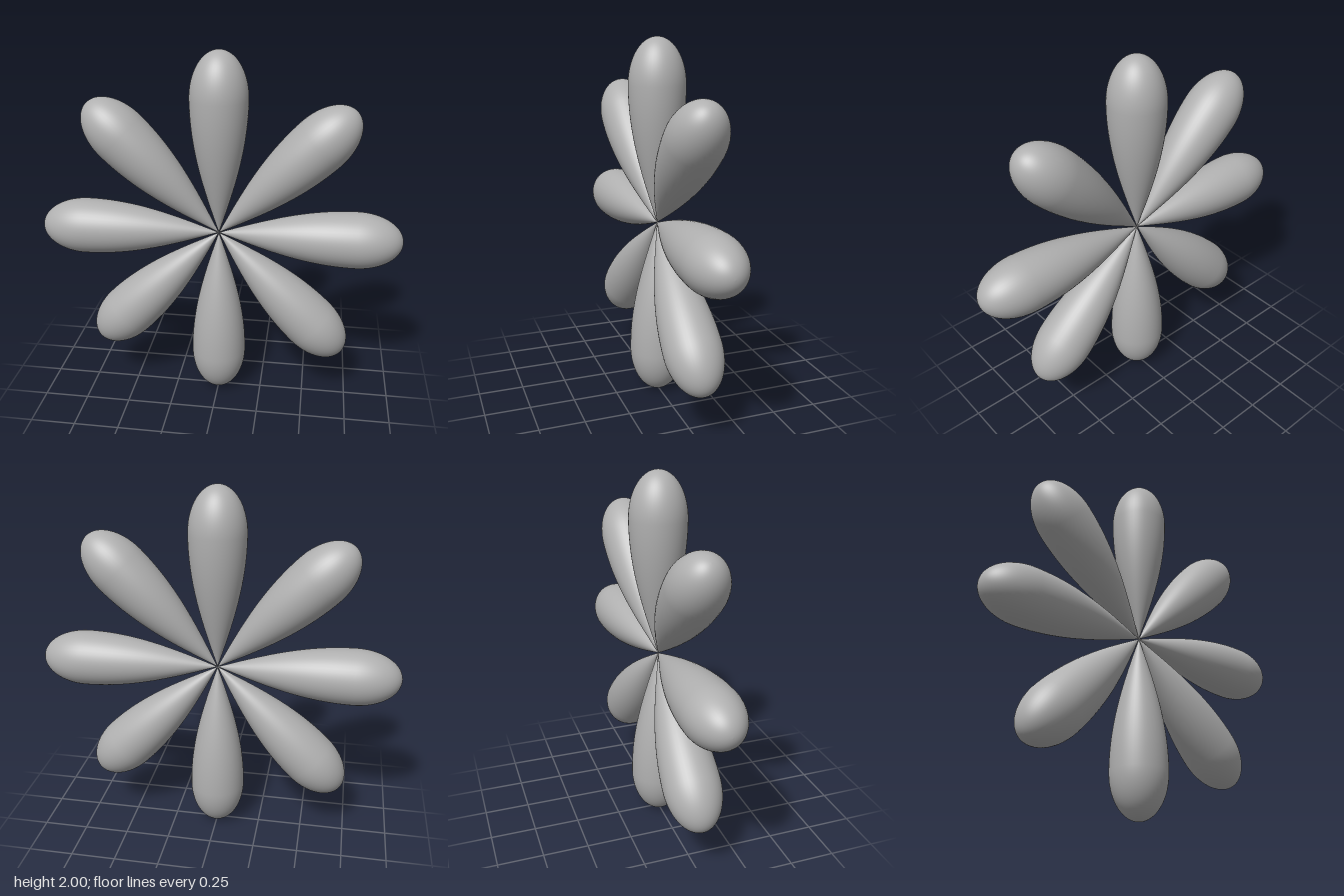
import * as THREE from 'three';

const LENGTH = 1, RADIUS = 0.155, WIDEST = 0.75;

// Teardrop outline: sine taper from the centre, then an elliptical cap
function petalProfile() {
  const points = [];
  for (let i = 0; i <= 24; i++) {
    const t = i / 24;
    points.push(new THREE.Vector2(RADIUS * Math.sin(t * Math.PI / 2), WIDEST * t));
  }
  for (let i = 1; i <= 20; i++) {
    const a = (i / 20) * Math.PI / 2;
    const r = i === 20 ? 0 : RADIUS * Math.cos(a);
    points.push(new THREE.Vector2(r, WIDEST + (LENGTH - WIDEST) * Math.sin(a)));
  }
  return points;
}

export function createModel() {
  const model = new THREE.Group();
  model.name = 'petalBurst';
  const grey = new THREE.MeshStandardMaterial({ color: 0xb0b0b0 });
  grey.name = 'grey';
  const geometry = new THREE.LatheGeometry(petalProfile(), 48);

  // Eight petals radiating in the upright plane
  for (let i = 0; i < 8; i++) {
    const petal = new THREE.Mesh(geometry, grey);
    petal.name = `petal${i + 1}`;
    petal.position.y = LENGTH;
    petal.rotation.z = (i * Math.PI) / 4;
    model.add(petal);
  }
  return model;
}
